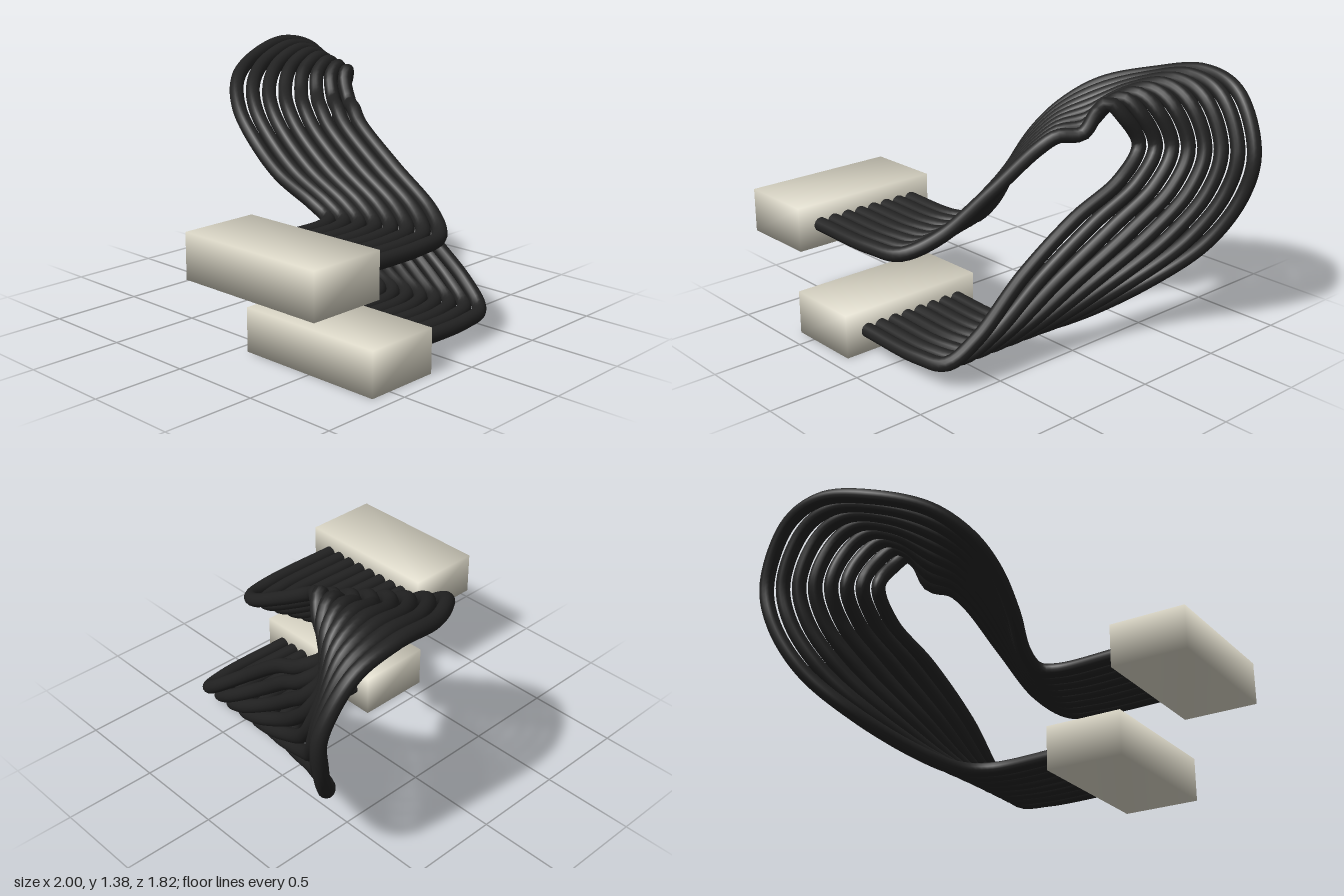
import * as THREE from 'three';
import { mergeVertices } from 'three/addons/utils/BufferGeometryUtils.js';

const WIRES = 8;
const RADIUS = 0.038;

// Matching guide points of the innermost and outermost wire: [inner xyz], [outer xyz]
const GUIDES = [
  [[-0.60, 0.59, 0.78], [-0.60, 0.59, 0.19]],
  [[-0.15, 0.59, 0.78], [-0.20, 0.59, 0.19]],
  [[0.05, 0.60, 0.74], [-0.11, 0.60, 0.14]],
  [[0.16, 0.68, 0.59], [-0.10, 0.66, 0.02]],
  [[0.205, 0.85, 0.30], [-0.155, 0.79, -0.17]],
  [[0.25, 1.03, 0.02], [-0.165, 0.95, -0.35]],
  [[0.30, 1.09, -0.07], [-0.12, 1.08, -0.51]],
  [[0.375, 1.10, -0.17], [0.01, 1.20, -0.67]],
  [[0.41, 1.21, -0.24], [0.26, 1.28, -0.82]],
  [[0.46, 1.255, -0.27], [0.57, 1.34, -0.875]],
  [[0.51, 1.19, -0.32], [0.80, 1.27, -0.86]],
  [[0.54, 1.03, -0.41], [0.955, 1.00, -0.815]],
  [[0.56, 0.88, -0.25], [0.925, 0.77, -0.78]],
  [[0.50, 0.72, 0.00], [0.80, 0.51, -0.67]],
  [[0.445, 0.48, 0.30], [0.60, 0.29, -0.46]],
  [[0.445, 0.24, 0.60], [0.43, 0.15, -0.12]],
  [[0.39, 0.135, 0.74], [0.34, 0.12, 0.09]],
  [[0.22, 0.12, 0.78], [0.20, 0.12, 0.19]],
  [[-0.23, 0.12, 0.78], [-0.23, 0.12, 0.19]],
].map((pair) => pair.map((p) => new THREE.Vector3(...p)));

// Plug block with shared corners, so its shading is smooth across the faces
function connector(name, x, y, material) {
  const box = new THREE.BoxGeometry(0.42, 0.235, 0.84);
  box.deleteAttribute('normal');
  box.deleteAttribute('uv');
  const geometry = mergeVertices(box);
  geometry.computeVertexNormals();
  const mesh = new THREE.Mesh(geometry, material);
  mesh.name = name;
  mesh.position.set(x, y, 0.49);
  return mesh;
}

export function createModel() {
  const model = new THREE.Group();
  model.name = 'ribbonCable';
  const plastic = new THREE.MeshStandardMaterial({ color: 0xd9d5c5 });
  const rubber = new THREE.MeshStandardMaterial({ color: 0x222222, side: THREE.DoubleSide });

  model.add(connector('upperConnector', -0.79, 0.5875, plastic));
  model.add(connector('lowerConnector', -0.41, 0.1175, plastic));

  // Ribbon of parallel wires, blended from the inner to the outer loop
  const wires = new THREE.Group();
  wires.name = 'wires';
  for (let i = 0; i < WIRES; i++) {
    const t = i / (WIRES - 1);
    const path = new THREE.CatmullRomCurve3(GUIDES.map(([a, b]) => a.clone().lerp(b, t)));
    const wire = new THREE.Mesh(new THREE.TubeGeometry(path, 140, RADIUS, 14), rubber);
    wire.name = `wire${i + 1}`;
    wires.add(wire);
  }
  model.add(wires);
  return model;
}
